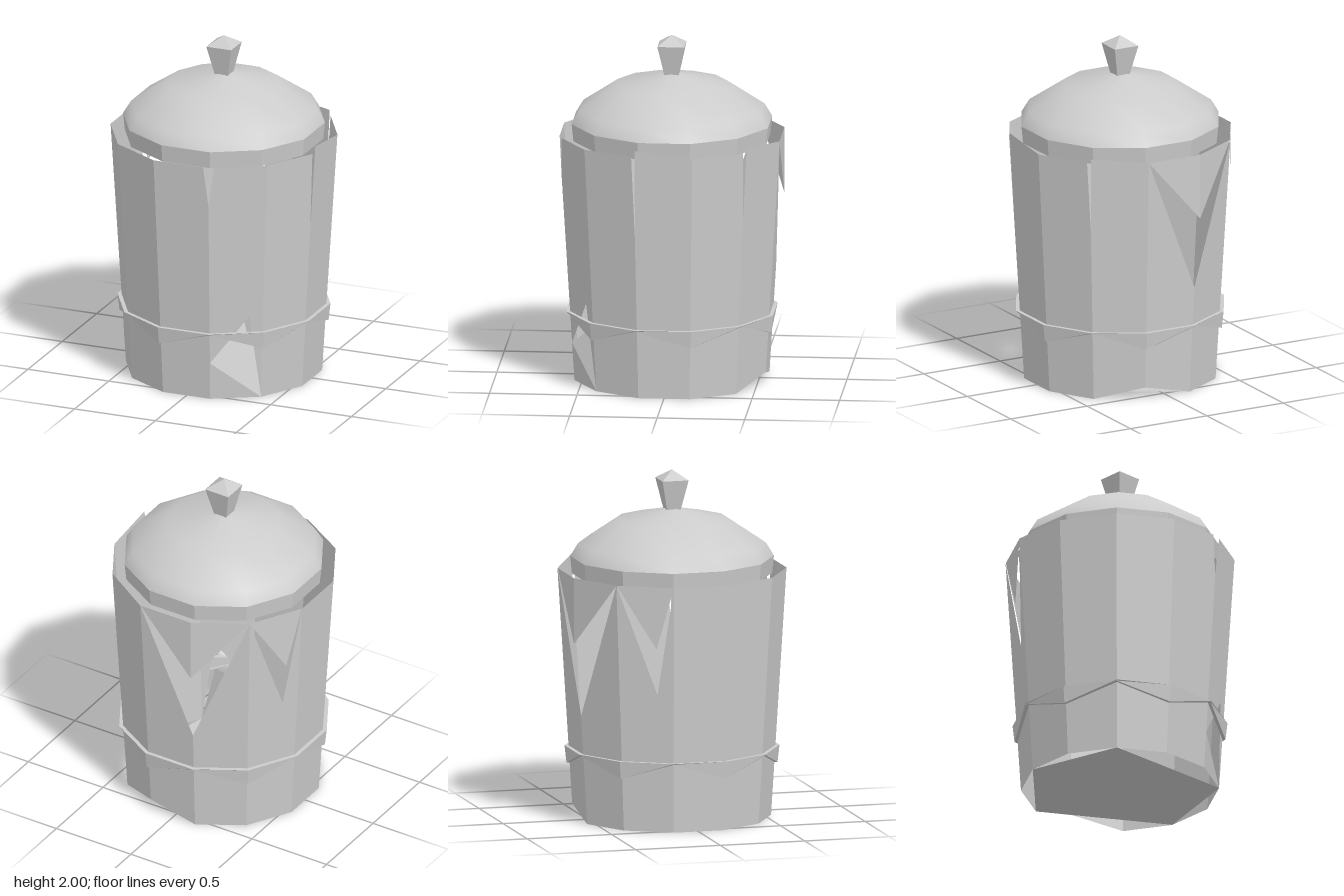
import * as THREE from 'three';

const SIDES = 12;
const TOP = 1.43;
const RAD = Math.PI / 180;

const flat = new THREE.MeshStandardMaterial({ color: 0xcccccc, flatShading: true, side: THREE.DoubleSide });
const smooth = new THREE.MeshStandardMaterial({ color: 0xcccccc, side: THREE.DoubleSide });

const wallRadius = (y) => 0.564 + 0.088 * (y / TOP);
const polar = (deg, r, y) => new THREE.Vector3(r * Math.sin(deg * RAD), y, r * Math.cos(deg * RAD));

function add(group, name, geometry, material = flat) {
  const mesh = new THREE.Mesh(geometry, material);
  mesh.name = name;
  group.add(mesh);
  return mesh;
}

// Outline in (fraction across the stave, height), wrapped onto stave k
function staveGeometry(k, outline, radius = wallRadius) {
  const geo = new THREE.ShapeGeometry(new THREE.Shape(outline.map(([u, y]) => new THREE.Vector2(u, y))));
  const pos = geo.attributes.position;
  for (let i = 0; i < pos.count; i++) {
    const u = pos.getX(i), y = pos.getY(i), r = radius(y);
    const p = polar(30 * k - 15, r, y).lerp(polar(30 * k + 15, r, y), u);
    pos.setXYZ(i, p.x, p.y, p.z);
  }
  geo.computeVertexNormals();
  return geo;
}

// Closed loft: ring(k) returns the cross-section at corner k
function loft(ring) {
  const verts = [], index = [];
  const n = ring(0).length;
  for (let k = 0; k < SIDES; k++) {
    ring(k).forEach((p) => verts.push(p.x, p.y, p.z));
    const next = (k + 1) % SIDES;
    for (let j = 0; j < n - 1; j++) {
      const a = k * n + j, b = next * n + j;
      index.push(a, b, b + 1, a, b + 1, a + 1);
    }
  }
  const geo = new THREE.BufferGeometry();
  geo.setAttribute('position', new THREE.Float32BufferAttribute(verts, 3));
  geo.setIndex(index);
  geo.computeVertexNormals();
  return geo;
}

function lathe(points, segments, startDeg) {
  return new THREE.LatheGeometry(points.map(([r, y]) => new THREE.Vector2(r, y)), segments, startDeg * RAD);
}

export function createModel() {
  const model = new THREE.Group();
  model.name = 'brokenBarrel';

  // Body: twelve staves, some of them cracked, chipped or split
  const body = new THREE.Group();
  body.name = 'body';
  model.add(body);
  const whole = [[0, 0], [1, 0], [1, TOP], [0, TOP]];
  const damaged = {
    0: [[0, 0], [1, 0], [1, 1.19], [0.91, TOP], [0, TOP]],
    1: [[1, 0], [1, TOP], [0.1, TOP], [0, 1.19], [0, 0.22], [0.74, 0.5]],
    2: [[0, 0], [1, 0], [1, 0.96], [0.96, TOP], [0, TOP]],
    3: [[0, 0], [1, 0], [1, TOP], [0.03, 1.47], [0, 0.96]],
    4: [[0, 0], [1, 0], [1, 1.02], [0.95, TOP], [0, TOP]],
    5: [[0, 0], [1, 0.07], [1, TOP], [0.02, 1.455], [0, 1.02]],
    6: [[0, 0.07], [1, 0], [1, 0.63], [0, TOP]],
    7: [[0, 0], [1, 0], [1, TOP], [0, 0.63]],
    8: [[0, 0], [1, 0], [1, TOP], [0.7, 0.8], [0, TOP]],
  };
  for (let k = 0; k < SIDES; k++) add(body, 'stave', staveGeometry(k, damaged[k] || whole));
  add(body, 'staveFoot', staveGeometry(1, [[0, 0], [1, 0], [0, 0.22]]));

  // Loose shards standing in the broken rim
  const upright = () => 0.65;
  add(body, 'rimShard', staveGeometry(6, [[0, TOP], [1, 1.05], [1, TOP]], upright));
  add(body, 'rimShard', staveGeometry(7, [[0, TOP], [0, 1.05], [1, TOP]], upright));
  add(body, 'rimShard', staveGeometry(8, [[0, TOP], [0.7, 1.07], [1, TOP]], upright));

  // Shard pushed inward behind the hole near the foot
  const shard = new THREE.BufferGeometry().setFromPoints([
    polar(15, wallRadius(0.22), 0.22), polar(45, wallRadius(0), 0), new THREE.Vector3(0.27, 0.42, 0.34),
  ]);
  shard.computeVertexNormals();
  add(body, 'footShard', shard);

  // Zigzag band around the lower body
  add(model, 'band', loft((k) => {
    const deg = 15 + 30 * k;
    const low = k % 2 ? 0.305 : 0.4;
    return [
      polar(deg, wallRadius(low), low),
      polar(deg, wallRadius(low) + 0.018, low),
      polar(deg, 0.612, 0.405),
      polar(deg, wallRadius(0.405), 0.405),
    ];
  }));

  // Five-cornered floor
  const floor = [[0.545, -0.145], [0.4, 0.4], [-0.4, 0.4], [-0.545, -0.145], [-0.145, -0.545]];
  const floorGeo = new THREE.ShapeGeometry(new THREE.Shape(floor.map(([x, z]) => new THREE.Vector2(x, z))));
  floorGeo.rotateX(Math.PI / 2);
  add(model, 'floor', floorGeo);

  // Lid with a smooth dome and a faceted rim
  add(model, 'lidRim', lathe([[0.57, 1.4], [0.58, 1.5]], SIDES, 15));
  add(model, 'lidDome', lathe([[0.58, 1.5], [0.535, 1.575], [0.325, 1.715], [0, 1.785]], SIDES, 15), smooth);

  // Square knob
  add(model, 'knob', lathe([[0.057, 1.77], [0.109, 1.945], [0, 2]], 4, 45));

  return model;
}
